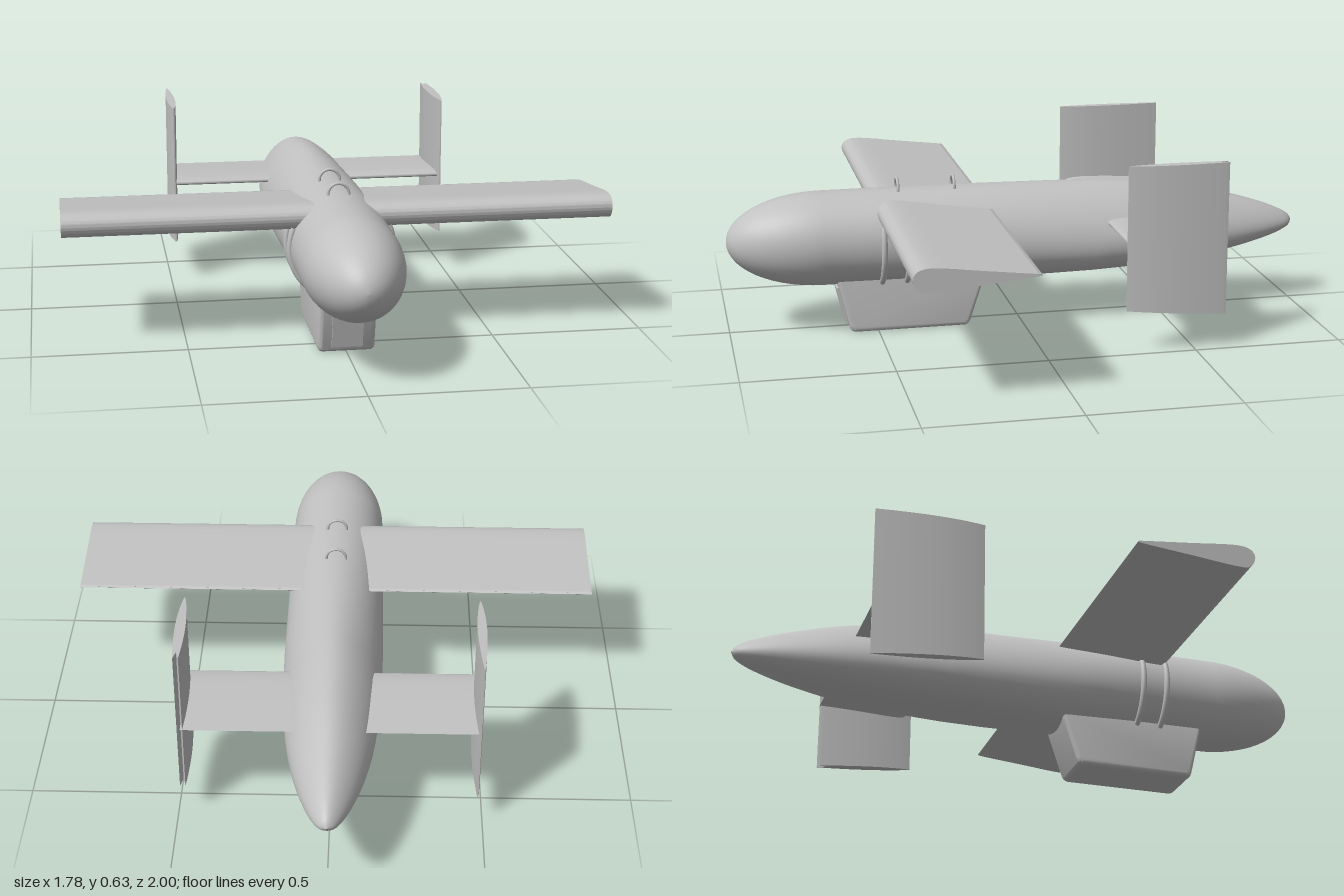
import * as THREE from 'three';
import { toCreasedNormals } from 'three/addons/utils/BufferGeometryUtils.js';

const grey = new THREE.MeshStandardMaterial({ color: 0xc1c1c1 });
grey.name = 'light grey';

function add(parent, name, geometry) {
  const mesh = new THREE.Mesh(geometry, grey);
  mesh.name = name;
  parent.add(mesh);
  return mesh;
}

// Closed section drawn in (z, y), extruded along x and centred on x = 0
function extrudeAcross(shape, width, bevel = 0) {
  const geo = new THREE.ExtrudeGeometry(shape, {
    depth: width - 2 * bevel, curveSegments: 28, bevelEnabled: bevel > 0,
    bevelSize: bevel, bevelThickness: bevel, bevelOffset: -bevel, bevelSegments: 4,
  });
  geo.translate(0, 0, -(width - 2 * bevel) / 2);
  geo.rotateY(-Math.PI / 2);
  return toCreasedNormals(geo, 0.6);
}

function splineShape(points) {
  const shape = new THREE.Shape();
  shape.moveTo(...points[0]);
  shape.splineThru([...points.slice(1), points[0]].map(p => new THREE.Vector2(...p)));
  return shape;
}

// Fuselage: rings lofted from rounded nose to tail, round in front and fuller below behind
function fuselageGeometry() {
  const rings = []; // [z, half width, top, bottom]
  for (let i = 0; i <= 14; i++) {
    const a = (i / 14) * Math.PI / 2, s = Math.sin(a);
    rings.push([0.68 + 0.32 * Math.cos(a), 0.164 * s, 0.318 + 0.16 * s, 0.318 - 0.161 * s]);
  }
  rings.push([0.4, 0.166, 0.478, 0.155], [0.25, 0.167, 0.478, 0.154],
    [0.1, 0.168, 0.477, 0.153], [-0.1, 0.169, 0.475, 0.153]);
  const tail = [
    [-0.25, 0.167, 0.473, 0.156], [-0.4, 0.161, 0.464, 0.163], [-0.6, 0.141, 0.439, 0.179],
    [-0.75, 0.113, 0.402, 0.202], [-0.87, 0.079, 0.365, 0.228], [-0.95, 0.047, 0.333, 0.252],
    [-0.985, 0.025, 0.312, 0.27], [-1, 0, 0.29, 0.29],
  ];
  const wide = new THREE.CatmullRomCurve3(tail.map(r => new THREE.Vector3(r[0], r[1], 0)));
  const high = new THREE.CatmullRomCurve3(tail.map(r => new THREE.Vector3(r[0], r[2], r[3])));
  for (let i = 0; i <= 28; i++) {
    const w = wide.getPoint(i / 28), h = high.getPoint(i / 28);
    rings.push([h.x, Math.max(w.y, 0), h.y, h.z]);
  }
  const N = 48, pos = [], idx = [];
  rings.forEach(([z, w, top, bottom], j) => {
    const k = 0.28 * THREE.MathUtils.clamp((0.4 - z) / 0.65, 0, 1);
    for (let i = 0; i < N; i++) {
      const a = (i / N) * Math.PI * 2, s = Math.sin(a);
      const x = w * Math.cos(a) * (1 - k * s) / (1 + k * k / 2);
      pos.push(x, (top + bottom) / 2 + (top - bottom) / 2 * s, z);
      if (j === rings.length - 1) continue;
      const p = j * N + i, q = j * N + (i + 1) % N;
      idx.push(p, p + N, q, q, p + N, q + N);
    }
  });
  const geo = new THREE.BufferGeometry();
  geo.setAttribute('position', new THREE.Float32BufferAttribute(pos, 3));
  geo.setIndex(idx);
  geo.computeVertexNormals();
  return geo;
}

// Upright fin with a lens section and a lower edge that drops towards the rear
function finGeometry(notched) {
  const shape = new THREE.Shape();
  const rear = notched ? -0.602 : -0.633, t = notched ? 0.009 : 0.002;
  shape.moveTo(-0.265, 0.002);
  shape.quadraticCurveTo(-0.4, 0.028, rear, t);
  if (notched) shape.lineTo(-0.57, 0); // open trailing edge
  shape.lineTo(rear, -t);
  shape.quadraticCurveTo(-0.4, -0.028, -0.265, -0.002);
  const geo = extrudeAcross(shape, 1);
  geo.rotateZ(-Math.PI / 2);
  const p = geo.attributes.position;
  for (let i = 0; i < p.count; i++) {
    const low = 0.145 + (p.getZ(i) + 0.265) * 0.082;
    p.setY(i, p.getY(i) > 0 ? 0.632 : low);
  }
  return geo;
}

export function createModel() {
  const model = new THREE.Group();
  model.name = 'glideBomb';

  add(model, 'fuselage', fuselageGeometry());

  // Main wing
  add(model, 'wing', extrudeAcross(splineShape([
    [0.113, 0.418], [0.28, 0.438], [0.43, 0.456], [0.485, 0.449], [0.502, 0.422],
    [0.485, 0.388], [0.44, 0.381], [0.28, 0.396], [0.125, 0.411],
  ]), 1.784));

  // Tailplane and twin fins
  add(model, 'tailplane', extrudeAcross(splineShape([
    [-0.605, 0.351], [-0.45, 0.363], [-0.35, 0.366], [-0.3, 0.361], [-0.288, 0.353],
    [-0.3, 0.344], [-0.35, 0.34], [-0.45, 0.343],
  ]), 0.96));
  for (const side of [-1, 1]) {
    add(model, side > 0 ? 'leftFin' : 'rightFin', finGeometry(side > 0)).position.x = side * 0.481;
  }

  // Belly pod with a thin panel on its sloping front
  const pod = new THREE.Shape();
  pod.moveTo(0.642, 0.2);
  pod.lineTo(0.599, 0.02);
  pod.quadraticCurveTo(0.594, 0, 0.574, 0);
  pod.lineTo(0.205, 0);
  pod.quadraticCurveTo(0.187, 0, 0.18, 0.02);
  pod.lineTo(0.122, 0.2);
  add(model, 'bellyPod', extrudeAcross(pod, 0.184, 0.015));
  const panel = add(model, 'podFrontPanel', new THREE.BoxGeometry(0.1, 0.132, 0.009));
  panel.position.set(0, 0.086, 0.618);
  panel.rotation.x = Math.atan2(0.043, 0.18);

  // Curved straps running from the wing down to the pod
  for (const z of [0.485, 0.4]) {
    for (const side of [-1, 1]) {
      const strap = add(model, 'strap', new THREE.TorusGeometry(0.168, 0.01, 10, 28, 1.5));
      strap.position.set(0, 0.318, z);
      strap.rotation.z = side > 0 ? -1.08 : Math.PI - 0.42;
    }
  }

  // Lifting lugs on the spine
  for (const z of [0.418, 0.225]) {
    const lug = add(model, 'liftingLug', new THREE.TorusGeometry(0.034, 0.005, 8, 24, Math.PI * 1.2));
    lug.position.set(0, 0.478, z);
    lug.rotation.z = -Math.PI * 0.1;
  }
  return model;
}
